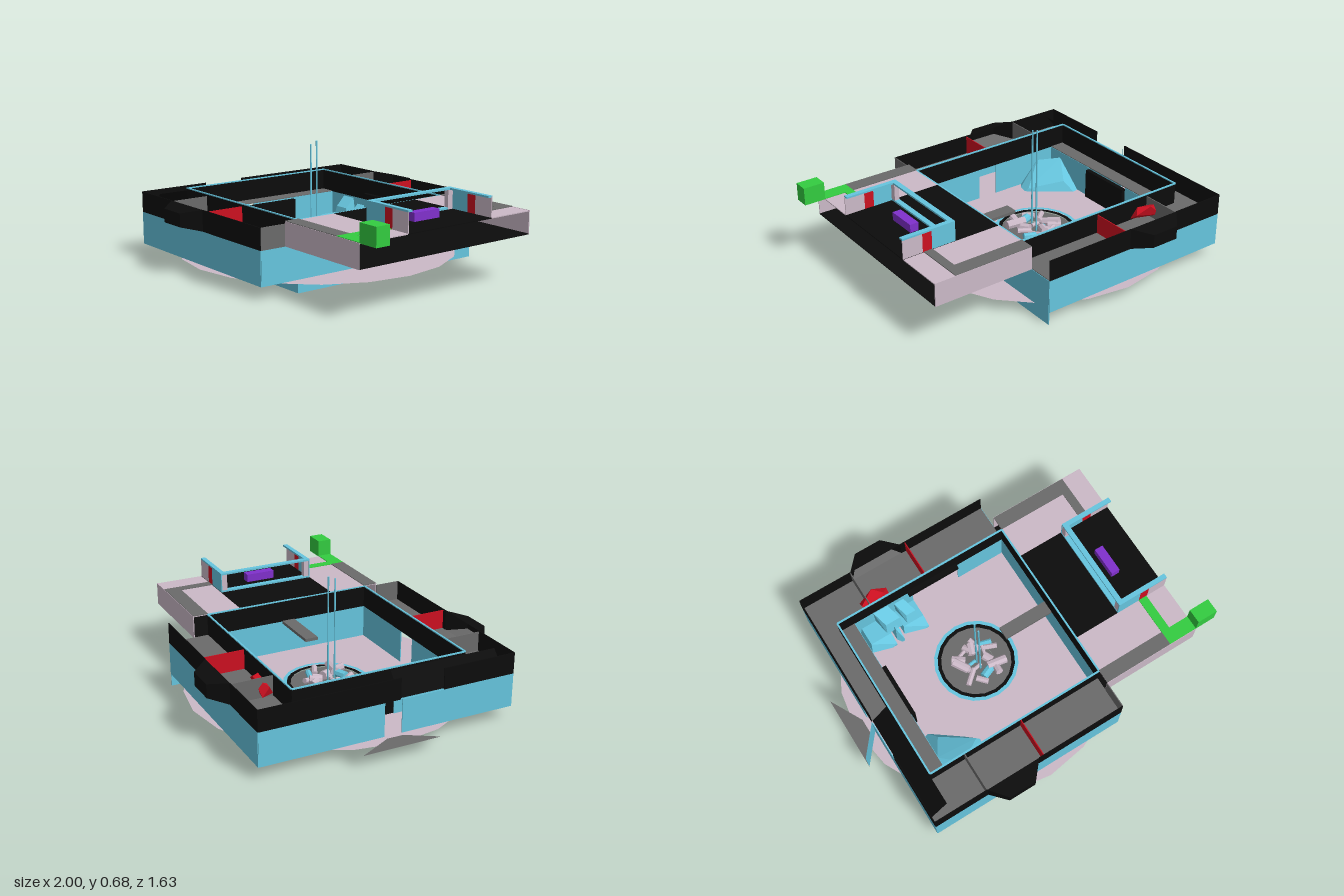
import * as THREE from 'three';
import { ConvexGeometry } from 'three/addons/geometries/ConvexGeometry.js';

export function createModel() {
  const model = new THREE.Group();
  const mat = (color, side = THREE.DoubleSide) => new THREE.MeshStandardMaterial({ color, side, flatShading: true });
  const blue = mat(0x66c5de), pink = mat(0xcbb9c7), black = mat(0x0c0c0c), gray = mat(0x6a6a6a);
  const red = mat(0xcc1020), green = mat(0x33cc40), purple = mat(0x8030cc);
  const T = 0.005;

  function add(name, geometry, material) {
    const mesh = new THREE.Mesh(geometry, material);
    mesh.name = name;
    model.add(mesh);
    return mesh;
  }
  // Box given by its limits on each axis
  function box(name, m, x0, x1, y0, y1, z0, z1) {
    const mesh = add(name, new THREE.BoxGeometry(x1 - x0, y1 - y0, z1 - z0), m);
    mesh.position.set((x0 + x1) / 2, (y0 + y1) / 2, (z0 + z1) / 2);
    return mesh;
  }
  const wallX = (name, m, x, z0, z1, y0, y1) => box(name, m, x - T / 2, x + T / 2, y0, y1, z0, z1);
  const wallZ = (name, m, z, x0, x1, y0, y1) => box(name, m, x0, x1, y0, y1, z - T / 2, z + T / 2);
  const plate = (name, m, y, x0, x1, z0, z1) => box(name, m, x0, x1, y - T, y, z0, z1);
  // Open surface from four-cornered faces
  function quads(name, m, list) {
    const pos = [];
    for (const [a, b, c, d] of list) pos.push(...a, ...b, ...c, ...a, ...c, ...d);
    const g = new THREE.BufferGeometry();
    g.setAttribute('position', new THREE.Float32BufferAttribute(pos, 3));
    g.computeVertexNormals();
    return add(name, g, m);
  }
  function rock(name, m, points) {
    return add(name, new ConvexGeometry(points.map(p => new THREE.Vector3(...p))), m);
  }

  // Round floor with a central opening
  const floor = add('roundFloor', new THREE.RingGeometry(0.225, 0.78, 20), pink);
  floor.rotation.x = -Math.PI / 2;
  floor.position.set(-0.18, 0.072, 0);

  for (const s of [-1, 1]) {
    // Outer side wall, with an opening where the bay sits
    const z = s * 0.722;
    wallZ('outerSkirt', blue, z, -0.87, 0.3, 0.072, 0.258);
    wallZ('outerWall', black, z, -0.87, -0.55, 0.258, 0.375);
    wallZ('outerWall', black, z, -0.23, 0.3, 0.258, 0.375);
    // Tapered bay
    const zt = s * 0.815;
    const base = [[-0.55, 0.258, z], [-0.23, 0.258, z], [-0.23, 0.375, z], [-0.55, 0.375, z]];
    const tip = [[-0.47, 0.28, zt], [-0.31, 0.28, zt], [-0.31, 0.355, zt], [-0.47, 0.355, zt]];
    const sides = [0, 1, 2, 3].map(i => [base[i], base[(i + 1) % 4], tip[(i + 1) % 4], tip[i]]);
    quads('bay', black, [...sides.slice(1), tip]);
    quads('bayFloor', gray, [sides[0]]);
    // Walkway, inner parapet and rim
    const zi = s * 0.493, lo = Math.min(zi, z), hi = Math.max(zi, z);
    plate('walkway', gray, 0.262, -0.87, 0.3, lo, hi);
    wallZ('parapet', black, zi, -0.76, 0.3, 0.258, 0.382);
    box('parapetRim', blue, -0.76, 0.3, 0.38, 0.386, zi - 0.005, zi + 0.005);
    // Walkway partitions
    wallX('redPartition', red, -0.2, lo, hi, 0.262, 0.37);
    wallX('grayPartition', gray, -0.55, lo, hi, 0.262, 0.37);
    // Inner room walls
    wallZ('roomWall', blue, zi, s > 0 ? -0.13 : 0, 0.3, 0, 0.258);
    wallZ('roomWall', blue, zi, -0.67, s > 0 ? -0.25 : -0.3, 0, 0.258);
  }
  wallX('walkwayEndPanel', gray, 0.3, 0.575, 0.722, 0.258, 0.375);

  // End wall with doorway
  for (const [a, b] of [[-0.722, -0.04], [0.06, 0.722]]) wallX('endSkirt', blue, -0.87, a, b, 0.072, 0.258);
  wallX('endWall', black, -0.87, -0.722, 0.05, 0.258, 0.375);
  plate('endWalkway', gray, 0.262, -0.87, -0.67, -0.493, 0.05);
  plate('endWalkway', gray, 0.262, -0.77, -0.67, 0.05, 0.493);
  wallX('endParapet', black, -0.76, -0.493, 0.493, 0.258, 0.382);
  box('endRim', blue, -0.765, -0.755, 0.38, 0.386, -0.493, 0.493);
  quads('slopedPanel', black, [[[-0.865, 0.262, 0.05], [-0.865, 0.262, 0.67], [-0.765, 0.37, 0.67], [-0.765, 0.37, 0.05]]]);
  wallX('endWall', black, -0.87, 0.3, 0.722, 0.258, 0.375);

  // Doorstep and flared door sides, seen from outside only
  quads('doorstep', gray, [[[-1, 0.075, -0.23], [-1, 0.075, 0.21], [-0.9, 0.075, 0.05], [-0.9, 0.075, -0.04]]]);
  quads('flaredSide', mat(0x66c5de, THREE.FrontSide), [
    [[-1, 0.072, 0.21], [-0.87, 0.072, 0.05], [-0.87, 0.258, 0.05], [-1, 0.258, 0.21]],
    [[-0.87, 0.072, -0.04], [-1, 0.072, -0.23], [-1, 0.258, -0.23], [-0.87, 0.258, -0.04]],
  ]);

  // Room end walls and inner door
  for (const [a, b] of [[-0.493, -0.19], [0.13, 0.493]]) wallX('roomEndWall', blue, -0.67, a, b, 0, 0.258);
  box('innerDoor', black, -0.67, -0.645, 0.075, 0.25, -0.19, 0.13);
  wallX('dividerBase', blue, 0.3, -0.722, 0.49, 0, 0.258);
  wallX('dividerBase', blue, 0.3, 0.49, 0.722, 0.072, 0.258);
  wallX('dividerWall', black, 0.3, -0.493, 0.493, 0.258, 0.382);
  box('dividerRim', blue, 0.295, 0.305, 0.38, 0.386, -0.493, 0.493);
  box('gangway', gray, 0, 0.3, 0.245, 0.262, -0.04, 0.035);
  box('blackBeam', black, -0.33, -0.01, 0.27, 0.3, -0.485, -0.46);

  // Corner rock and stepped rocks
  rock('cornerRock', blue, [[-0.67, 0, 0.15], [-0.67, 0, 0.49], [-0.33, 0, 0.44], [-0.37, 0, 0.49],
    [-0.6, 0.13, 0.28], [-0.67, 0.22, 0.4], [-0.56, 0.2, 0.49], [-0.42, 0.09, 0.39]]);
  rock('rockFoot', blue, [[-0.74, 0, 0.49], [-0.25, 0, 0.49], [-0.3, 0.05, 0.49], [-0.67, 0.07, 0.49],
    [-0.4, 0.05, 0.46], [-0.6, 0.05, 0.44]]);
  for (const [x0, x1, h] of [[-0.67, -0.51, 0.13], [-0.51, -0.46, 0.15], [-0.46, -0.3, 0.12]])
    rock('lowerStep', blue, [[x0, 0, -0.5], [x1, 0, -0.5], [x0, 0, -0.32], [x1, 0, -0.32],
      [x0 + 0.03, h, -0.38], [x1, h, -0.38], [x0 + 0.03, h, -0.5], [x1, h, -0.5], [x1, h * 0.7, -0.32]]);
  for (const [x0, x1, h] of [[-0.55, -0.43, 0.25], [-0.42, -0.33, 0.22]])
    rock('upperStep', blue, [[x0, 0.07, -0.5], [x1, 0.07, -0.5], [x0 + 0.02, 0.12, -0.39], [x1, 0.12, -0.39],
      [x0, h, -0.49], [x1 - 0.03, h, -0.49], [x0 + 0.03, h * 0.8, -0.41], [x1, h * 0.8, -0.41]]);
  rock('redGem', red, [[-0.59, 0.28, -0.57], [-0.59, 0.33, -0.53], [-0.5, 0.36, -0.58], [-0.42, 0.32, -0.56],
    [-0.42, 0.28, -0.51], [-0.56, 0.28, -0.5], [-0.5, 0.27, -0.5], [-0.45, 0.35, -0.53]]);

  // Central basin, rings and debris
  const basin = new THREE.Group();
  basin.name = 'basin';
  basin.position.set(-0.18, 0, 0);
  model.add(basin);
  const ring = (name, r0, r1, y, m) => {
    const mesh = new THREE.Mesh(new THREE.RingGeometry(r0, r1, 20), m);
    mesh.name = name;
    mesh.rotation.x = -Math.PI / 2;
    mesh.position.y = y;
    basin.add(mesh);
  };
  ring('blueRing', 0.22, 0.24, 0.078, blue);
  ring('blackRing', 0.2, 0.223, 0.074, black);
  ring('basinPlate', 0.1, 0.205, 0.065, gray);
  ring('basinCentre', 0, 0.1, 0.055, gray);
  let seed = 7;
  const rnd = () => (seed = (seed * 16807) % 2147483647) / 2147483647;
  for (let i = 0; i < 18; i++) {
    const r = 0.01 + rnd() * 0.017;
    const piece = new THREE.Mesh(new THREE.CylinderGeometry(r, r, 0.05 + rnd() * 0.07, 8), i % 6 === 5 ? blue : pink);
    const a = i * 2.4, d = 0.03 + rnd() * 0.1;
    piece.name = 'debris';
    piece.position.set(Math.cos(a) * d, 0.075 + rnd() * 0.03, Math.sin(a) * d);
    piece.rotation.set(Math.PI / 2 + (rnd() - 0.5) * 0.6, 0, rnd() * 6.28);
    basin.add(piece);
  }
  // Tall poles
  for (const [z, top] of [[0.005, 0.68], [0.045, 0.665]]) {
    const pole = add('pole', new THREE.CylinderGeometry(0.005, 0.005, top - 0.03, 6), blue);
    pole.position.set(-0.18, (top + 0.03) / 2, z);
  }

  // Side wing: walls, underside, roof panels
  wallZ('wingWall', pink, 0.572, 0.3, 0.88, 0.258, 0.387);
  wallZ('wingWall', pink, -0.577, 0.3, 0.88, 0.258, 0.387);
  plate('wingUnderside', black, 0.263, 0.3, 0.88, -0.577, 0.572);
  plate('wingRoof', pink, 0.386, 0.3, 0.88, -0.577, -0.3);
  plate('wingRoof', pink, 0.386, 0.3, 0.88, 0.27, 0.572);
  plate('wingDeck', black, 0.386, 0.3, 0.88, -0.3, 0.27);
  plate('wingPath', gray, 0.39, 0.3, 0.76, -0.577, -0.493);
  plate('wingPath', gray, 0.39, 0.71, 0.76, -0.493, -0.3);
  plate('wingPath', gray, 0.39, 0.3, 0.71, 0.49, 0.572);
  plate('greenPath', green, 0.39, 0.71, 0.76, 0.27, 0.49);
  plate('greenPath', green, 0.39, 0.71, 0.88, 0.49, 0.572);
  box('greenCube', green, 0.88, 1, 0.385, 0.485, 0.49, 0.572);
  box('hangingBox', black, 0.41, 0.56, 0.2, 0.26, -0.14, 0.14);

  // Raised cabin frame with open ends
  for (const [z, s] of [[0.268, 1], [-0.295, -1]]) {
    wallZ('cabinSide', blue, z, 0.57, 0.71, 0.386, 0.495);
    wallZ('cabinRedPanel', red, z, 0.71, 0.765, 0.386, 0.495);
    wallZ('cabinSide', pink, z, 0.765, 0.88, 0.386, 0.495);
    box('cabinTopRail', blue, 0.57, 0.88, 0.49, 0.5, z - (s > 0 ? 0.024 : 0.003), z + (s > 0 ? 0.003 : 0.024));
    box('cabinPost', pink, 0.572, 0.6, 0.386, 0.49, z - (s > 0 ? 0.035 : 0), z + (s > 0 ? 0 : 0.035));
  }
  box('cabinCrossRail', blue, 0.57, 0.6, 0.49, 0.5, -0.297, 0.27);
  box('cabinSill', blue, 0.57, 0.6, 0.386, 0.396, -0.297, 0.27);
  box('purpleConsole', purple, 0.66, 0.71, 0.386, 0.432, -0.095, 0.075);
  return model;
}
